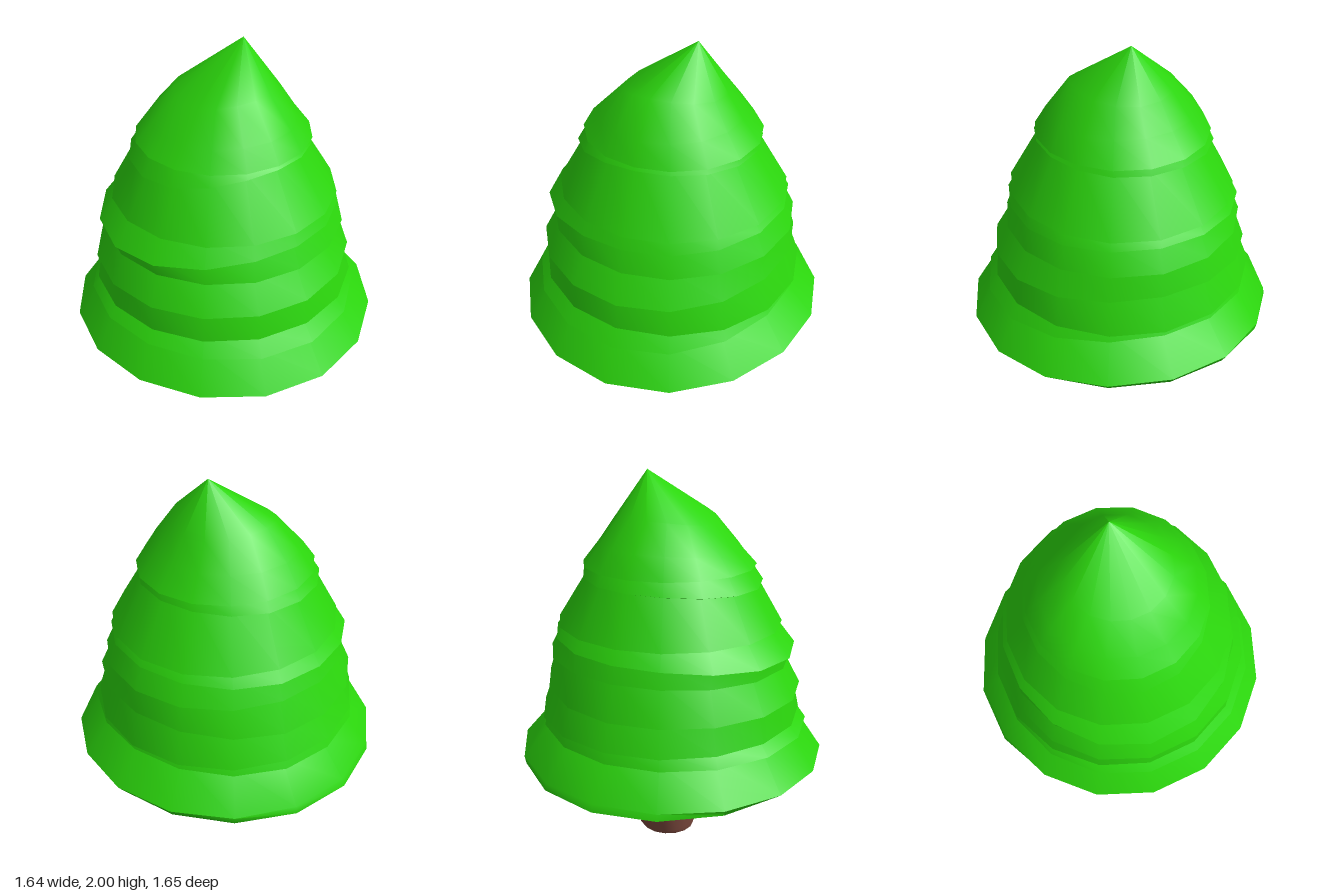
import * as THREE from 'three';
import { toCreasedNormals } from 'three/addons/utils/BufferGeometryUtils.js';

const SIDES = 16;

// A wobbly ring: radii and heights are given at [+x, -x, +z, -z] and blended around
function ring(r, y, cx = 0, cz = 0) {
  const R = Array.isArray(r) ? r : [r, r, r, r];
  const Y = Array.isArray(y) ? y : [y, y, y, y];
  return { R, Y, cx, cz };
}

function ringPoint({ R, Y, cx, cz }, j) {
  const a = ((j % SIDES) / SIDES) * Math.PI * 2;
  const c = Math.cos(a), s = Math.sin(a), w = c * c;
  const blend = (v) => w * (c > 0 ? v[0] : v[1]) + (1 - w) * (s > 0 ? v[2] : v[3]);
  const r = blend(R);
  return [cx + r * c, blend(Y), cz + r * s];
}

// Skin a list of rings, ordered from the top down
function loft(rings, crease = 0.9) {
  const pos = [];
  for (let i = 0; i < rings.length - 1; i++) {
    const top = rings[i], low = rings[i + 1];
    for (let j = 0; j < SIDES; j++) {
      const a = ringPoint(top, j), b = ringPoint(top, j + 1);
      const c = ringPoint(low, j), d = ringPoint(low, j + 1);
      if (top.R[0] > 0) pos.push(...a, ...b, ...c);
      if (low.R[0] > 0) pos.push(...b, ...d, ...c);
      if (top.R[0] === 0) pos.push(...a, ...d, ...c);
    }
  }
  const geo = new THREE.BufferGeometry();
  geo.setAttribute('position', new THREE.Float32BufferAttribute(pos, 3));
  return toCreasedNormals(geo, crease);
}

// Ring moved inwards and up or down
const inset = (g, dr, dy) => ring(g.R.map((v) => v - dr), g.Y.map((v) => v + dy), g.cx, g.cz);

export function createModel() {
  const tree = new THREE.Group();
  tree.name = 'tree';
  const leaf = new THREE.MeshStandardMaterial({ color: 0x2bd60c, side: THREE.DoubleSide });
  const bark = new THREE.MeshStandardMaterial({ color: 0x804c40 });

  const add = (name, geo, mat) => {
    const mesh = new THREE.Mesh(geo, mat);
    mesh.name = name;
    tree.add(mesh);
  };

  // Trunk with a small bevel at its foot
  add('trunk', loft([
    ring(0, 0.345, 0.02, -0.01),
    ring(0.2, 0.345, 0.02, -0.01),
    ring(0.16, [0.03, 0.04, 0.025, 0.025], 0.02, -0.01),
    ring(0.15, [0.02, 0.005, 0.01, 0.01], 0.02, -0.01),
    ring(0, 0, 0.02, -0.01),
  ]), bark);

  // Leaning pointed cap
  const capRim = ring([0.46, 0.44, 0.43, 0.45], 1.54);
  add('cap', loft([
    ring(0, 2, 0.13, -0.01),
    ring([0.29, 0.23, 0.25, 0.26], [1.77, 1.75, 1.8, 1.785]),
    ring([0.37, 0.36, 0.37, 0.38], [1.65, 1.62, 1.64, 1.65]),
    capRim,
    inset(capRim, 0.06, 0),
  ]), leaf);

  // Tilted overlapping skirts: rim of each one, top to bottom
  const rims = [
    ring([0.455, 0.48, 0.43, 0.47], [1.5, 1.45, 1.52, 1.48]),
    ring([0.6, 0.58, 0.575, 0.58], 1.24),
    ring([0.61, 0.66, 0.585, 0.61], [1.2, 1.12, 1.17, 1.17]),
    ring([0.65, 0.63, 0.61, 0.62], [1.08, 1.06, 1.05, 1.08]),
    ring([0.66, 0.69, 0.68, 0.665], [0.95, 0.9, 0.9, 0.9]),
    ring([0.7, 0.69, 0.69, 0.7], 0.76),
    ring([0.69, 0.73, 0.74, 0.7], [0.73, 0.7, 0.67, 0.7]),
  ];
  let above = capRim;
  rims.forEach((rim, i) => {
    add('tier' + (i + 1), loft([
      inset(above, 0.035, 0.02),
      rim,
      inset(rim, 0.04, -0.012),
      inset(rim, 0.1, 0.01),
    ]), leaf);
    above = rim;
  });

  // Widest skirt, closed underneath down to the trunk
  const hem = ring([0.82, 0.82, 0.83, 0.81], [0.555, 0.53, 0.505, 0.54]);
  add('bottomTier', loft([
    inset(above, 0.04, 0.02),
    hem,
    ring([0.79, 0.79, 0.8, 0.825], [0.51, 0.515, 0.49, 0.505]),
    ring([0.64, 0.65, 0.66, 0.66], [0.455, 0.43, 0.43, 0.43]),
    ring([0.28, 0.2, 0.22, 0.22], [0.36, 0.285, 0.35, 0.275]),
    ring(0, 0.32),
  ], 0.8), leaf);

  return tree;
}
